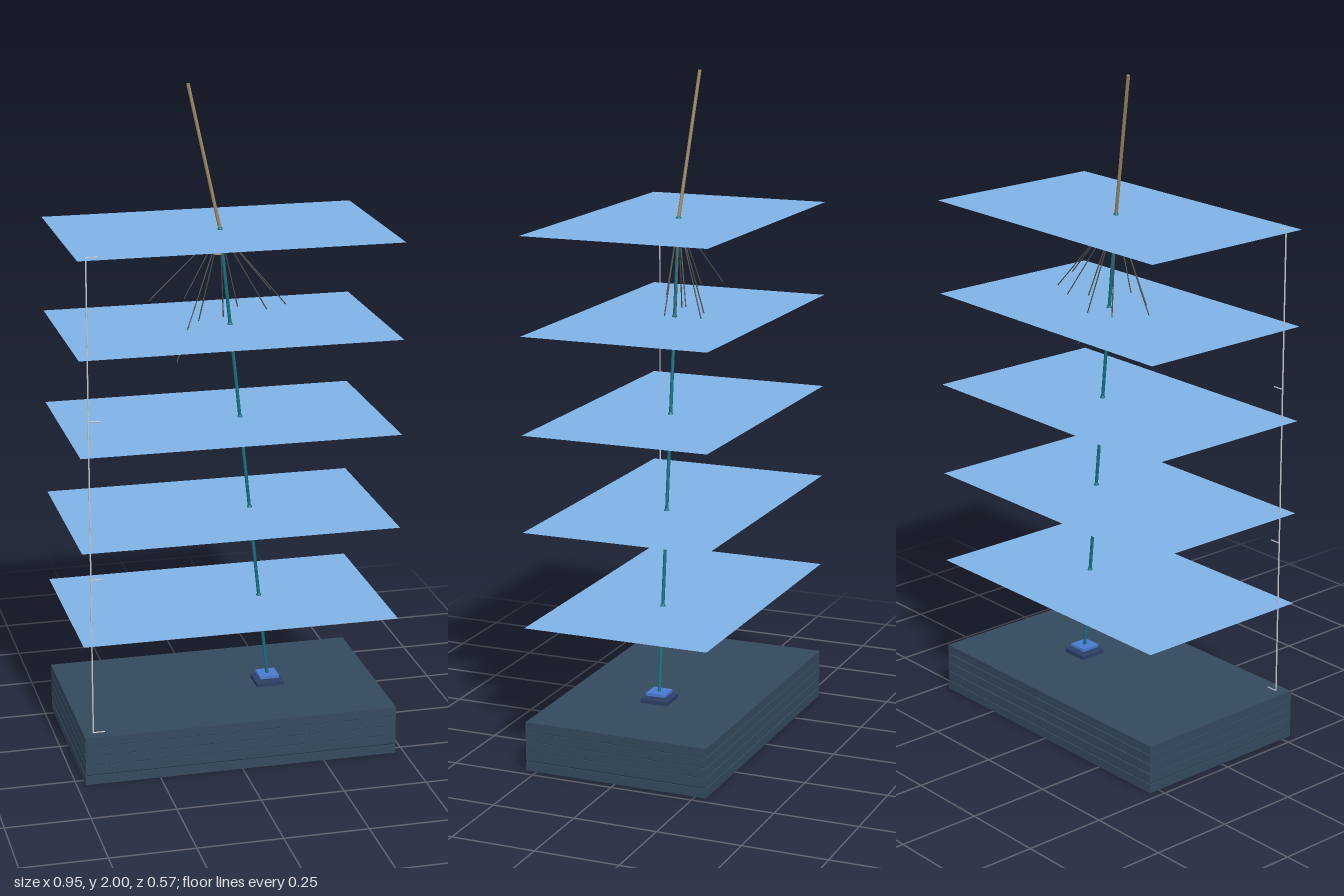
import * as THREE from 'three';

const mat = (color, side = THREE.FrontSide) => new THREE.MeshStandardMaterial({ color, side });

export function createModel() {
  const model = new THREE.Group();
  const W = 0.946, D = 0.567, GROUND = 0.15, TOP = 1.577;
  const V = (x, y, z) => new THREE.Vector3(x, y, z);

  const sheetMat = mat(0x7fb2e5, THREE.DoubleSide);
  const rockMat = mat(0x34495e), seamMat = mat(0x26343f);
  const tanMat = mat(0x9a8560), tealMat = mat(0x15707f);
  const darkMat = mat(0x55534f), greyMat = mat(0xcccccc);
  const navyMat = mat(0x2b3f63), blueMat = mat(0x4a7bd0);

  function add(name, geometry, material, x = 0, y = 0, z = 0) {
    const mesh = new THREE.Mesh(geometry, material);
    mesh.name = name;
    mesh.position.set(x, y, z);
    model.add(mesh);
    return mesh;
  }

  // Round rod (or cone) running from a to b
  function rod(name, a, b, rA, rB, material, sides = 8) {
    const dir = b.clone().sub(a);
    const mesh = add(name, new THREE.CylinderGeometry(rB, rA, dir.length(), sides), material);
    mesh.position.copy(a).add(b).multiplyScalar(0.5);
    mesh.quaternion.setFromUnitVectors(V(0, 1, 0), dir.normalize());
    return mesh;
  }

  // Ground slab of five strata separated by slightly recessed seams
  const layers = 5, step = GROUND / layers, seam = 0.003;
  for (let i = 0; i < layers; i++) {
    add('groundLayer', new THREE.BoxGeometry(W, step - seam, D), rockMat, 0, (i + 0.5) * step + seam / 2 * (i ? 1 : 0), 0);
  }
  add('groundSeams', new THREE.BoxGeometry(W - 0.008, GROUND - 0.004, D - 0.008), seamMat, 0, GROUND / 2, 0);

  // Five thin atmosphere sheets
  const gap = (TOP - GROUND) / 5;
  for (let i = 1; i <= 5; i++) {
    const sheet = add('atmosphereSheet', new THREE.PlaneGeometry(W, D), sheetMat, 0, GROUND + gap * i, 0);
    sheet.rotation.x = -Math.PI / 2;
  }

  // Incoming ray, with its blunt head below the top sheet
  const hit = V(0, TOP, 0);
  rod('incomingRay', V(-0.087, 2, -0.03), hit, 0.005, 0.005, tanMat, 12);
  rod('rayHead', V(-0.01, 1.505, 0), V(-0.003, 1.562, 0), 0.016, 0.004, tanMat, 12);

  // Long ray to the detector, with a bead where it crosses each sheet
  const target = V(0.148, 0.175, 0);
  rod('mainTrack', hit, target, 0.005, 0.005, tealMat, 12);
  for (let i = 1; i <= 5; i++) {
    const t = (TOP - (GROUND + gap * i)) / (TOP - target.y);
    const p = hit.clone().lerp(target, t);
    add('crossingBead', new THREE.SphereGeometry(0.008, 12, 8), tealMat, p.x, p.y, p.z);
  }

  // Spray of fine secondary tracks
  const ends = [
    [-0.2, 1.36, -0.06], [-0.14, 1.2, 0.045], [-0.1, 1.37, -0.03],
    [-0.055, 1.265, -0.065], [0.04, 1.2, -0.11], [0.065, 1.33, -0.05],
    [0.155, 1.315, -0.055], [0.16, 1.38, -0.03], [0.21, 1.33, -0.045],
  ];
  for (const e of ends) {
    rod('secondaryTrack', hit, V(...e), 0.0018, 0.0018, darkMat, 6);
  }

  // Detector: two square plates on a short stem
  const dx = 0.148;
  add('detectorBase', new THREE.BoxGeometry(0.084, 0.012, 0.084), navyMat, dx, GROUND + 0.006, 0);
  add('detectorStem', new THREE.BoxGeometry(0.04, 0.01, 0.04), navyMat, dx, GROUND + 0.016, 0);
  add('detectorPlate', new THREE.BoxGeometry(0.06, 0.009, 0.06), blueMat, dx, GROUND + 0.0245, 0);

  // Height scale: post at the front corner with four ticks
  const px = -0.443, pz = 0.25;
  rod('scalePost', V(px, GROUND, pz), V(px, TOP, pz), 0.0022, 0.0022, greyMat);
  for (let i = 0; i < 4; i++) {
    const y = GROUND + 0.001 + (TOP - GROUND) * i / 3;
    rod('scaleTick', V(px, y, pz), V(px + 0.034, y, pz), 0.0018, 0.0018, greyMat, 6);
  }

  return model;
}
